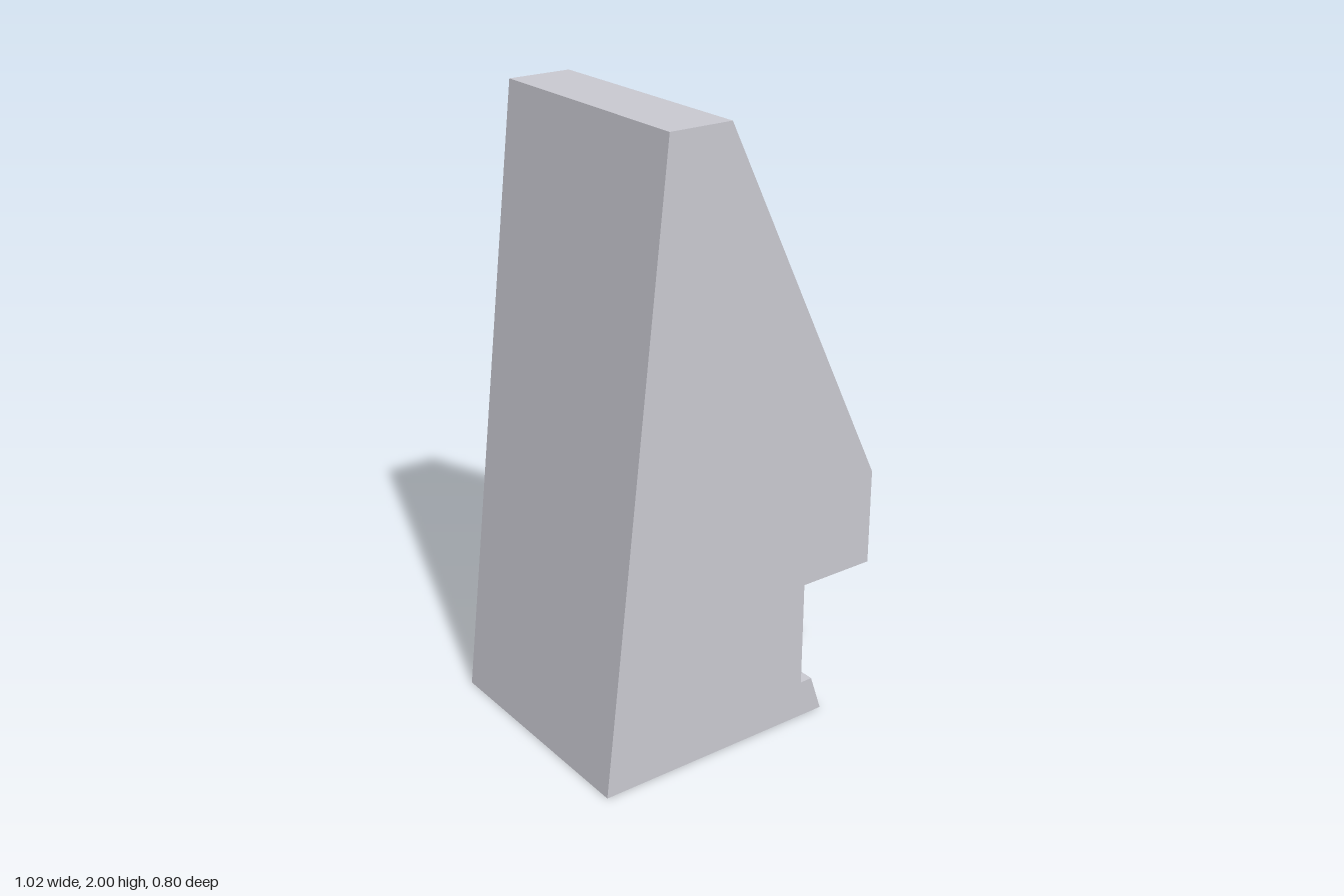
import * as THREE from 'three';

const HALF = 0.4;   // half width of the cabinet
const OPEN = 0.3;   // half width of the screen opening

// Side profile, counter-clockwise in x/y
const PROFILE = [
  [-0.51, 0], [0.33, 0], [0.288, 0.125], [0.245, 0.125], [0.245, 0.48],
  [0.51, 0.48], [0.51, 0.8], [-0.07, 2], [-0.28, 2],
];
const SLOPE = 6; // index of the sloped front edge

// Flat strip across the width, from profile point a to point b
function strip(a, b, half) {
  const p = [
    [...a, half], [...a, -half], [...b, -half],
    [...a, half], [...b, -half], [...b, half],
  ];
  const geo = new THREE.BufferGeometry();
  geo.setAttribute('position', new THREE.Float32BufferAttribute(p.flat(), 3));
  geo.computeVertexNormals();
  return geo;
}

function flatShape(points) {
  return new THREE.Shape(points.map(([x, y]) => new THREE.Vector2(x, y)));
}

export function createModel() {
  const group = new THREE.Group();
  const grey = new THREE.MeshStandardMaterial({ color: 0xc8c8d0, side: THREE.DoubleSide });
  grey.name = 'cabinet grey';
  const pink = new THREE.MeshStandardMaterial({ color: 0xd893ac, side: THREE.DoubleSide });
  pink.name = 'screen pink';

  const add = (name, geo, mat) => {
    const mesh = new THREE.Mesh(geo, mat);
    mesh.name = name;
    group.add(mesh);
    return mesh;
  };

  // Side panels and the triangular cheeks inside the opening
  const top = [-0.029, 1.915], bottom = [0.468, 0.887], inner = [0.112, 0.887];
  for (const s of [1, -1]) {
    const side = s > 0 ? 'left' : 'right';
    const panel = new THREE.ShapeGeometry(flatShape(PROFILE));
    if (s < 0) panel.rotateY(Math.PI).scale(-1, 1, 1).setIndex([...panel.index.array].reverse());
    add(side + 'Panel', panel, grey).position.z = s * HALF;

    const cheek = new THREE.ShapeGeometry(flatShape([top, inner, bottom]));
    if (s > 0) cheek.rotateY(Math.PI).scale(-1, 1, 1).setIndex([...cheek.index.array].reverse());
    add(side + 'Cheek', cheek, grey).position.z = s * OPEN;
  }

  // Outer skin of the hollow cabinet, without the slope
  const names = ['base', 'kickPlate', 'kickLedge', 'notchBack', 'notchCeiling',
    'frontApron', '', 'roof', 'rearPanel'];
  PROFILE.forEach((a, i) => {
    if (i === SLOPE) return;
    add(names[i], strip(a, PROFILE[(i + 1) % PROFILE.length], HALF), grey);
  });

  // Sloped front with an open window
  const a = new THREE.Vector3(...PROFILE[SLOPE], 0);
  const v = new THREE.Vector3(...PROFILE[SLOPE + 1], 0).sub(a);
  const length = v.length();
  v.normalize();
  const along = (y) => (y - a.y) / v.y;
  const bezel = flatShape([[-HALF, 0], [HALF, 0], [HALF, length], [-HALF, length]]);
  const v0 = along(bottom[1]), v1 = along(top[1]);
  bezel.holes.push(flatShape([[-OPEN, v0], [-OPEN, v1], [OPEN, v1], [OPEN, v0]]));
  const bezelGeo = new THREE.ShapeGeometry(bezel);
  const u = new THREE.Vector3(0, 0, -1);
  bezelGeo.applyMatrix4(new THREE.Matrix4().makeBasis(u, v, u.clone().cross(v)).setPosition(a));
  add('screenBezel', bezelGeo, grey);

  // Screen standing in the opening
  add('screen', strip([0.1, 0.973], [-0.016, 1.832], 0.22), pink);

  return group;
}
